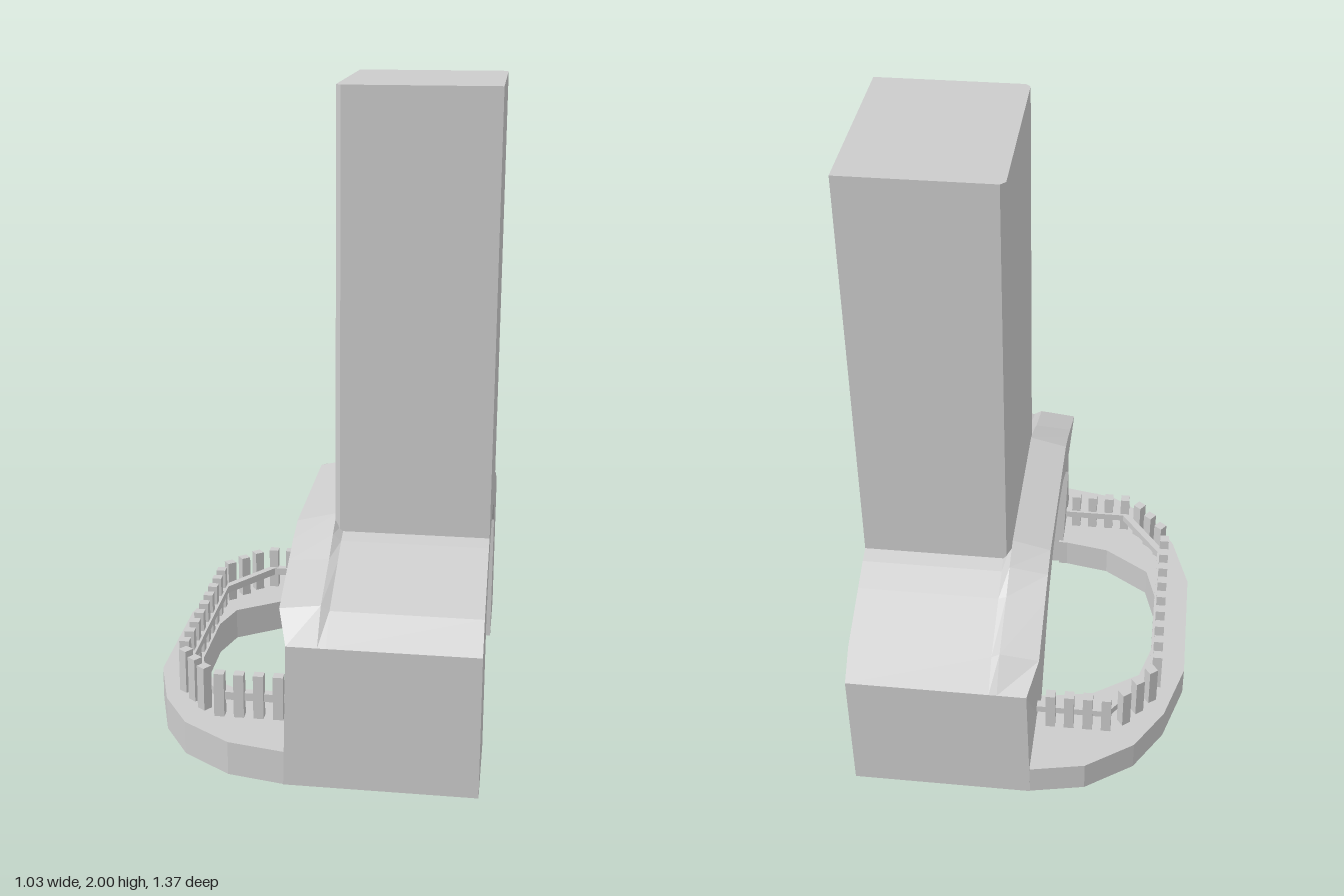
import * as THREE from 'three';

const material = new THREE.MeshStandardMaterial({ color: 0xcccccc, flatShading: true });

function add(parent, name, geometry) {
  const mesh = new THREE.Mesh(geometry, material);
  mesh.name = name;
  parent.add(mesh);
  return mesh;
}

// Plan outline given as [x, z] points, raised from y0 to y1
function slab(points, y0, y1) {
  const shape = new THREE.Shape(points.map(([x, z]) => new THREE.Vector2(x, -z)));
  const g = new THREE.ExtrudeGeometry(shape, { depth: y1 - y0, bevelEnabled: false });
  return g.rotateX(-Math.PI / 2).translate(0, y0, 0);
}

// A run of points on the -z side followed by its mirror on the +z side
const mirrorZ = (half) => [...half, ...half.map(([x, z]) => [x, -z]).reverse()];

// Closed arch: each section is an outer run and an inner run, lofted along x
function archGeometry() {
  const outer = [[0.685, 0.035], [0.685, 0.475], [0.605, 0.555], [0.43, 0.63], [0.345, 0.665], [0.26, 0.69], [0, 0.69]];
  const inner = [[0.385, 0.035], [0.385, 0.475], [0.29, 0.56], [0.17, 0.615], [0.1, 0.627], [0.05, 0.634], [0, 0.64]];
  const lip = [0, 0, 0.015, 0.01, 0.02, 0.03, 0.03];
  const rimOuter = [-0.05, -0.04, -0.07, -0.07, -0.07, -0.07, -0.07];
  const rimInner = [-0.05, -0.07, -0.07, -0.07, -0.07, -0.07, -0.07];
  const section = (xOuter, xInner, rise) => {
    const span = (half, xs, up) => {
      const a = half.map(([z, y], i) => [xs(i), y + up * lip[i], z]);
      return [...a, ...a.slice(0, -1).reverse().map(([x, y, z]) => [x, y, -z])];
    };
    return [...span(outer, xOuter, rise), ...span(inner, xInner, 0).reverse()];
  };
  const at = (x) => section(() => x, () => x, 0);
  const sections = [
    section((i) => rimOuter[i], (i) => rimInner[i], 0),
    section(() => 0.05, () => 0.05, 1),
    at(0.075),
    at(0.515),
  ];
  const pos = [];
  const quad = (a, b, c, d) => pos.push(...a, ...b, ...c, ...a, ...c, ...d);
  const n = sections[0].length;
  for (let s = 0; s < sections.length - 1; s++) {
    const p = sections[s], q = sections[s + 1];
    for (let j = 0; j < n; j++) {
      const k = (j + 1) % n;
      quad(p[j], q[j], q[k], p[k]);
    }
  }
  // End faces between the outer and inner runs
  const first = sections[0], last = sections[sections.length - 1];
  for (let j = 0; j < n / 2 - 1; j++) {
    const i = n - 1 - j;
    quad(last[i], last[i - 1], last[j + 1], last[j]);
    quad(first[j], first[j + 1], first[i - 1], first[i]);
  }
  const g = new THREE.BufferGeometry();
  g.setAttribute('position', new THREE.Float32BufferAttribute(pos, 3));
  g.computeVertexNormals();
  return g;
}

export function createModel() {
  const model = new THREE.Group();
  model.name = 'archedTower';

  add(model, 'archBase', archGeometry());

  // Tall shaft with slightly clipped rear corners
  add(model, 'tower', slab(mirrorZ([[0.515, -0.3], [0.065, -0.3], [0.05, -0.285]]), 0.66, 2));

  // Horseshoe walkway
  const rim = mirrorZ([[-0.04, -0.685], [-0.22, -0.65], [-0.37, -0.55], [-0.46, -0.41], [-0.52, -0.215]]);
  const hole = mirrorZ([[-0.04, -0.375], [-0.07, -0.375], [-0.22, -0.348], [-0.37, -0.25], [-0.405, -0.13]]);
  add(model, 'walkway', slab([...rim, ...hole.reverse()], 0.035, 0.14));

  // Railing: one thin rail following the posts
  const railing = new THREE.Group();
  railing.name = 'railing';
  model.add(railing);
  const railOut = mirrorZ([[-0.05, -0.488], [-0.28, -0.488], [-0.428, -0.288]]);
  const railIn = mirrorZ([[-0.05, -0.463], [-0.27, -0.463], [-0.405, -0.28]]);
  add(railing, 'rail', slab([...railOut, ...railIn.reverse()], 0.19, 0.215));

  const post = (x, z, y0, angle) => {
    const m = add(railing, 'post', new THREE.BoxGeometry(0.031, 0.28 - y0, 0.031));
    m.position.set(x, (0.28 + y0) / 2, z);
    m.rotation.y = angle;
  };
  for (let i = -4; i <= 4; i++) post(-0.428, i * 0.0705, 0.13, 0);
  for (const side of [-1, 1]) {
    for (let i = 0; i < 4; i++) post(-0.095 - i * 0.06, side * 0.487, 0.13, 0);
    // Diagonal posts run down through the walkway
    for (let i = 0; i < 3; i++) post(-0.33 - i * 0.04, side * (0.453 - i * 0.052), 0, side * 0.92);
  }
  return model;
}
